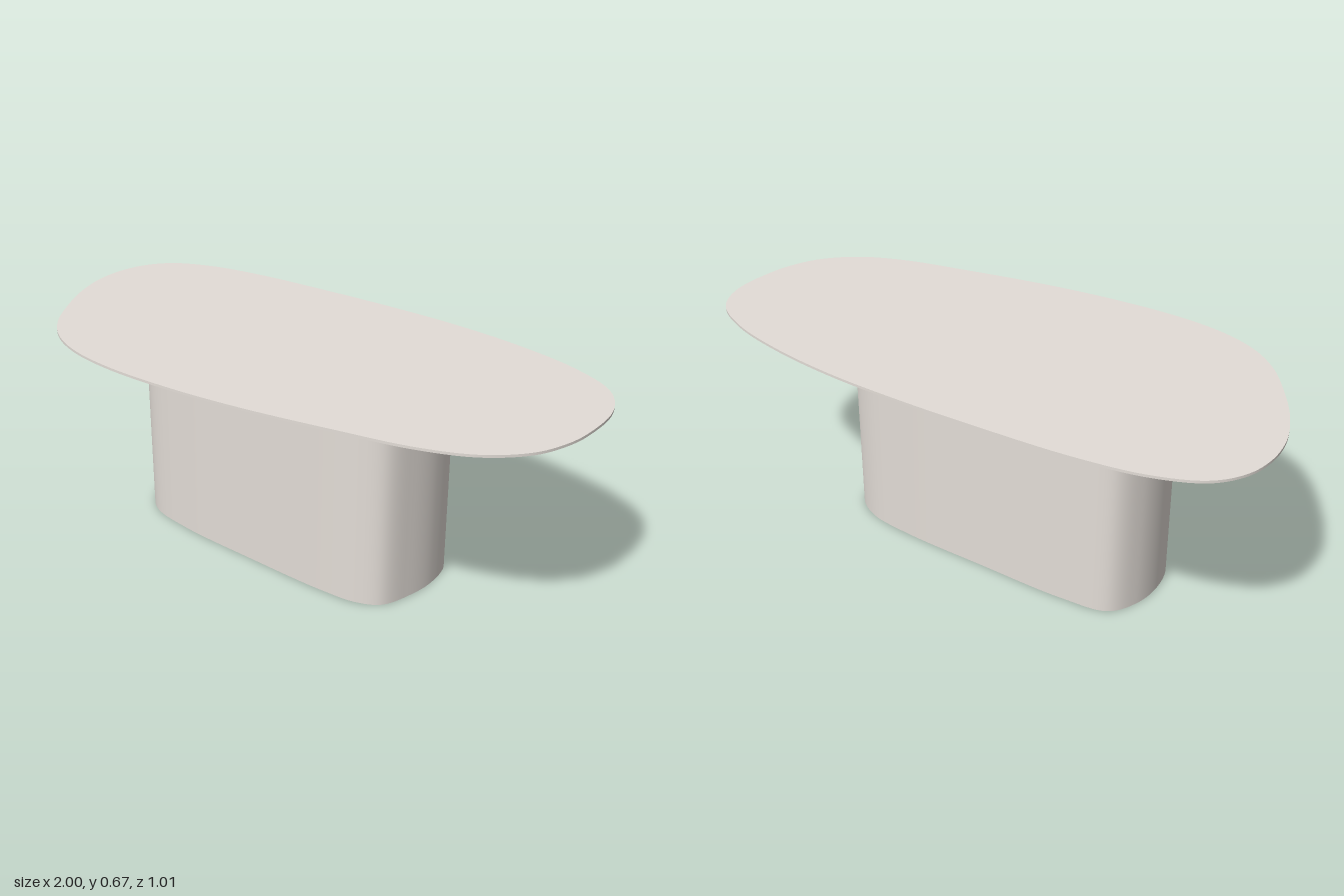
import * as THREE from 'three';
import { mergeGeometries } from 'three/addons/utils/BufferGeometryUtils.js';

const SEGMENTS = 160;

// Smooth closed outline through [x, z] points, moved inwards by inset
function outline(points, inset = 0) {
  const curve = new THREE.CatmullRomCurve3(
    points.map(([x, z]) => new THREE.Vector3(x, 0, z)), true, 'centripetal');
  const ring = [];
  for (let i = 0; i < SEGMENTS; i++) {
    const p = curve.getPoint(i / SEGMENTS);
    const t = curve.getTangent(i / SEGMENTS);
    ring.push([p.x + t.z * inset, p.z - t.x * inset]);
  }
  return ring;
}

// Smooth wall between two rings
function band(lower, y0, upper, y1) {
  const pos = [], index = [], n = lower.length;
  for (let i = 0; i < n; i++) {
    const j = (i + 1) % n;
    pos.push(lower[i][0], y0, lower[i][1], upper[i][0], y1, upper[i][1]);
    index.push(2 * i, 2 * j, 2 * j + 1, 2 * i, 2 * j + 1, 2 * i + 1);
  }
  return finish(pos, index);
}

// Flat lid over a ring, facing up or down
function cap(ring, y, up) {
  const pos = [0, y, 0], index = [], n = ring.length;
  for (let i = 0; i < n; i++) {
    const a = i + 1, b = (i + 1) % n + 1;
    pos.push(ring[i][0], y, ring[i][1]);
    index.push(0, up ? a : b, up ? b : a);
  }
  return finish(pos, index);
}

function finish(pos, index) {
  const g = new THREE.BufferGeometry();
  g.setAttribute('position', new THREE.Float32BufferAttribute(pos, 3));
  g.setIndex(index);
  g.computeVertexNormals();
  return g;
}

export function createModel() {
  const group = new THREE.Group();
  const stone = new THREE.MeshStandardMaterial({ color: 0xe3ddd7 });
  stone.name = 'warm grey stone';

  const add = (name, parts) => {
    const mesh = new THREE.Mesh(mergeGeometries(parts), stone);
    mesh.name = name;
    group.add(mesh);
  };

  // Pebble-shaped top: thin lip above a wide underside bevel
  const topPoints = [
    [1, -0.09], [0.972, -0.255], [0.89, -0.375], [0.73, -0.45], [0.5, -0.493],
    [0.25, -0.508], [0, -0.5], [-0.3, -0.475], [-0.6, -0.438], [-0.8, -0.388],
    [-0.93, -0.315], [-0.985, -0.23], [-1, -0.13], [-0.98, -0.01], [-0.92, 0.12],
    [-0.83, 0.25], [-0.73, 0.365], [-0.62, 0.443], [-0.48, 0.49], [-0.3, 0.505],
    [-0.05, 0.486], [0.2, 0.443], [0.5, 0.367], [0.72, 0.302], [0.87, 0.222],
    [0.962, 0.115], [0.995, 0.01],
  ];
  const rim = outline(topPoints);
  const under = outline(topPoints, 0.08);
  add('tableTop', [
    cap(rim, 0.671, true),
    band(rim, 0.663, rim, 0.671),
    band(under, 0.63, rim, 0.663),
    cap(under, 0.63, false),
  ]);

  // Solid rounded pedestal, slightly off centre
  const foot = outline([
    [0.515, -0.08], [0.478, -0.19], [0.38, -0.246], [0.22, -0.258], [-0.1, -0.239],
    [-0.4, -0.215], [-0.55, -0.178], [-0.594, -0.09], [-0.596, 0.02], [-0.556, 0.13],
    [-0.47, 0.198], [-0.3, 0.22], [0, 0.212], [0.3, 0.194], [0.42, 0.172],
    [0.486, 0.128], [0.513, 0.03],
  ]);
  add('pedestal', [
    band(foot, 0, foot, 0.63),
    cap(foot, 0, false),
    cap(foot, 0.63, true),
  ]);

  return group;
}
